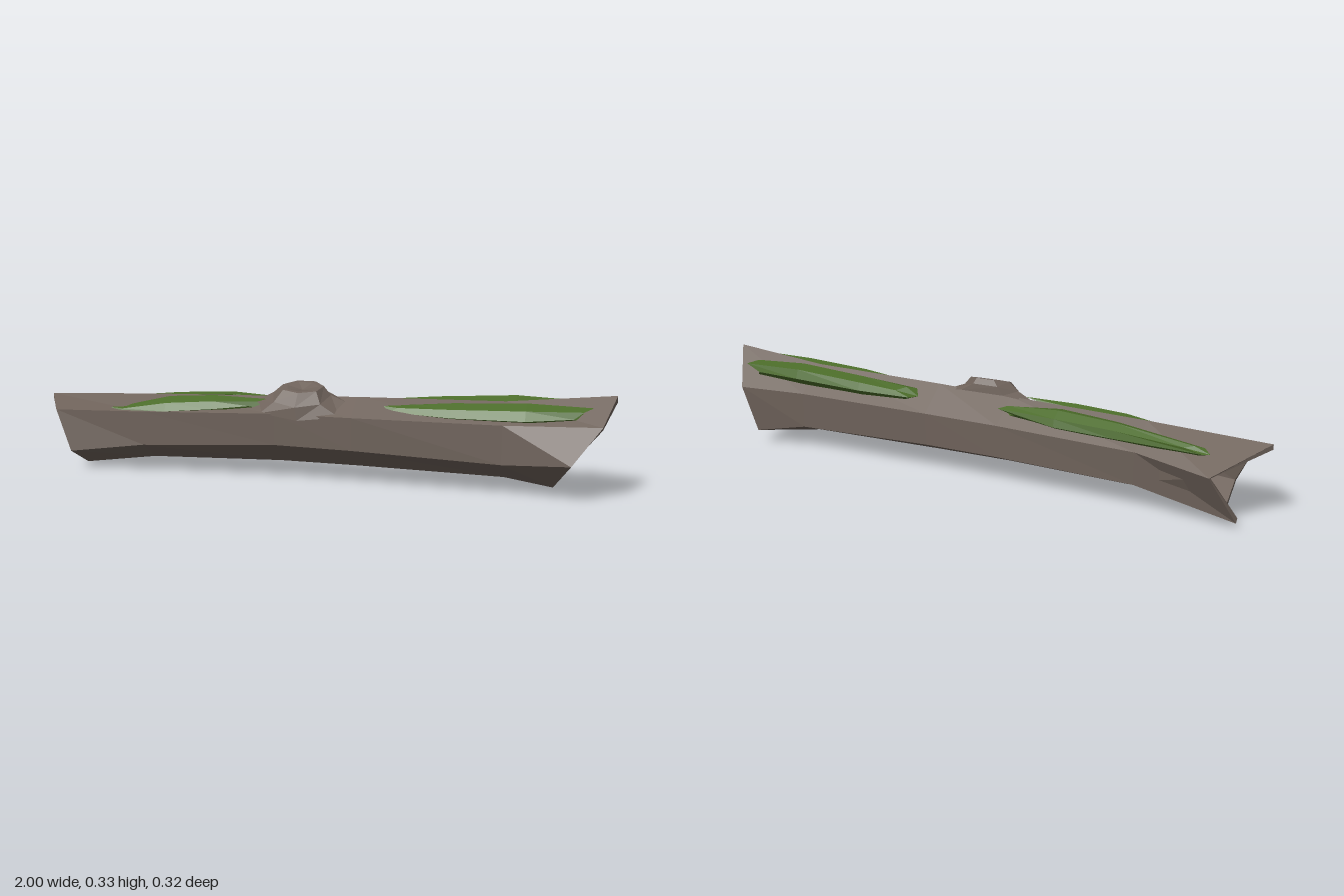
import * as THREE from 'three';

const bark = new THREE.MeshStandardMaterial({ color: 0x6e625a, flatShading: true, side: THREE.DoubleSide });
const green = new THREE.MeshStandardMaterial({ color: 0x4a6b28, flatShading: true, side: THREE.DoubleSide });

// Skin a list of equal rings of [x, y, z] points with flat facets.
function loft(rings, material, name) {
  const pos = [];
  const tri = (a, b, c) => pos.push(...a, ...b, ...c);
  for (let i = 0; i < rings.length - 1; i++) {
    const r = rings[i], s = rings[i + 1], n = r.length;
    for (let j = 0; j < n; j++) {
      const k = (j + 1) % n;
      tri(r[j], r[k], s[k]);
      tri(r[j], s[k], s[j]);
    }
  }
  const geo = new THREE.BufferGeometry();
  geo.setAttribute('position', new THREE.Float32BufferAttribute(pos, 3));
  geo.computeVertexNormals();
  const mesh = new THREE.Mesh(geo, material);
  mesh.name = name;
  return mesh;
}

// Hexagonal sections: top, upper front, lower front, bottom, lower back, upper back.
// Ragged ends give each corner its own x.
const section = (x, ...yz) => yz.map(([y, z]) => [x, y, z]);
const sections = [
  [[-1, 0.25, 0], [-0.93, 0.21, 0.11], [-0.87, 0.065, 0.125], [-0.87, 0, 0], [-0.93, 0.018, -0.11], [-0.85, 0.17, -0.163]],
  section(-0.6, [0.265, 0], [0.215, 0.097], [0.097, 0.1], [0.036, 0], [0.085, -0.112], [0.195, -0.115]),
  section(-0.12, [0.277, 0], [0.228, 0.085], [0.12, 0.085], [0.048, -0.005], [0.095, -0.108], [0.205, -0.108]),
  section(0.15, [0.285, 0], [0.228, 0.095], [0.117, 0.095], [0.046, -0.005], [0.095, -0.108], [0.207, -0.108]),
  section(0.65, [0.292, 0], [0.23, 0.106], [0.102, 0.11], [0.038, 0], [0.085, -0.118], [0.21, -0.118]),
  [[1, 0.325, 0], [0.96, 0.24, 0.115], [0.87, 0.12, 0.162], [0.81, 0.013, 0], [0.85, 0.045, -0.132], [0.9, 0.21, -0.146]],
];

// Thin inner wall: each section pulled in towards its own centre.
function inset(ring, f) {
  const cy = ring.reduce((s, p) => s + p[1], 0) / ring.length;
  const cz = ring.reduce((s, p) => s + p[2], 0) / ring.length;
  return ring.map(([x, y, z]) => [x, cy + (y - cy) * f, cz + (z - cz) * f]);
}

// Moss pad: ragged lens set through the wall, tilted by phi towards +z (or -z).
// Stations are [x, y, z, half width, rise].
function moss(stations, phi, name) {
  const outline = [[-1, 0.1], [-0.55, 1], [0.4, 1], [1, 0.15], [0.5, -1.2], [-0.4, -1.5]];
  const rings = stations.map(([x, y, z, w, h], i) => outline.map(([t, n], j) => {
    const a = t * w, b = n * h;
    const jag = i === 0 || i === stations.length - 1 ? ((j * 2) % 3 - 1) * 0.03 : 0;
    return [x + jag, y - a * Math.sin(phi) + b * Math.cos(phi), z + a * Math.cos(phi) + b * Math.sin(phi)];
  }));
  const tip = (ring, dx) => ring.map(() => [ring[0][0] + dx, ring[0][1], (ring[0][2] + ring[3][2]) / 2]);
  rings.unshift(tip(rings[0], -0.02));
  rings.push(tip(rings[rings.length - 1], 0.02));
  return loft(rings, green, name);
}

// Tilted oval ring for the knot.
function oval(cx, cy, cz, rx, rz, slope) {
  return Array.from({ length: 7 }, (_, i) => {
    const a = (i / 7) * Math.PI * 2 + 0.2, dz = -Math.sin(a) * rz;
    return [cx + Math.cos(a) * rx, cy - dz * slope, cz + dz];
  });
}

export function createModel() {
  const log = new THREE.Group();
  log.name = 'hollowLog';

  // Outer wall, rims and inner wall as one closed skin
  const inner = sections.map((r) => inset(r, 0.87)).reverse();
  log.add(loft([...sections, ...inner, sections[0]], bark, 'trunk'));

  // Broken branch stub
  log.add(loft([
    oval(-0.03, 0.25, 0.035, 0.18, 0.07, 0.55),
    oval(-0.04, 0.285, 0.035, 0.105, 0.066, 0.45),
    oval(-0.035, 0.317, 0.03, 0.075, 0.05, 0.3),
    oval(-0.035, 0.317, 0.03, 0.058, 0.038, 0.3),
    oval(-0.035, 0.306, 0.03, 0, 0, 0),
  ], bark, 'knot'));

  // Moss pads on the two upper faces
  log.add(moss([[0.3, 0.255, 0.04, 0.02, 0.012], [0.48, 0.257, 0.052, 0.04, 0.02],
    [0.72, 0.262, 0.056, 0.048, 0.024], [0.9, 0.266, 0.06, 0.028, 0.02]], 0.45, 'mossFrontLeft'));
  log.add(moss([[0.25, 0.258, -0.065, 0.03, 0.014], [0.42, 0.262, -0.066, 0.042, 0.024],
    [0.68, 0.271, -0.066, 0.045, 0.03], [0.88, 0.27, -0.07, 0.034, 0.022]], -0.3, 'mossBackLeft'));
  log.add(moss([[-0.68, 0.214, 0.078, 0.018, 0.012], [-0.52, 0.236, 0.05, 0.046, 0.02],
    [-0.35, 0.247, 0.043, 0.04, 0.02], [-0.19, 0.253, 0.042, 0.02, 0.014]], 0.45, 'mossFrontRight'));
  log.add(moss([[-0.78, 0.222, -0.085, 0.014, 0.014], [-0.52, 0.238, -0.068, 0.036, 0.022],
    [-0.32, 0.248, -0.066, 0.042, 0.022], [-0.14, 0.25, -0.062, 0.02, 0.012]], -0.5, 'mossBackRight'));

  return log;
}
